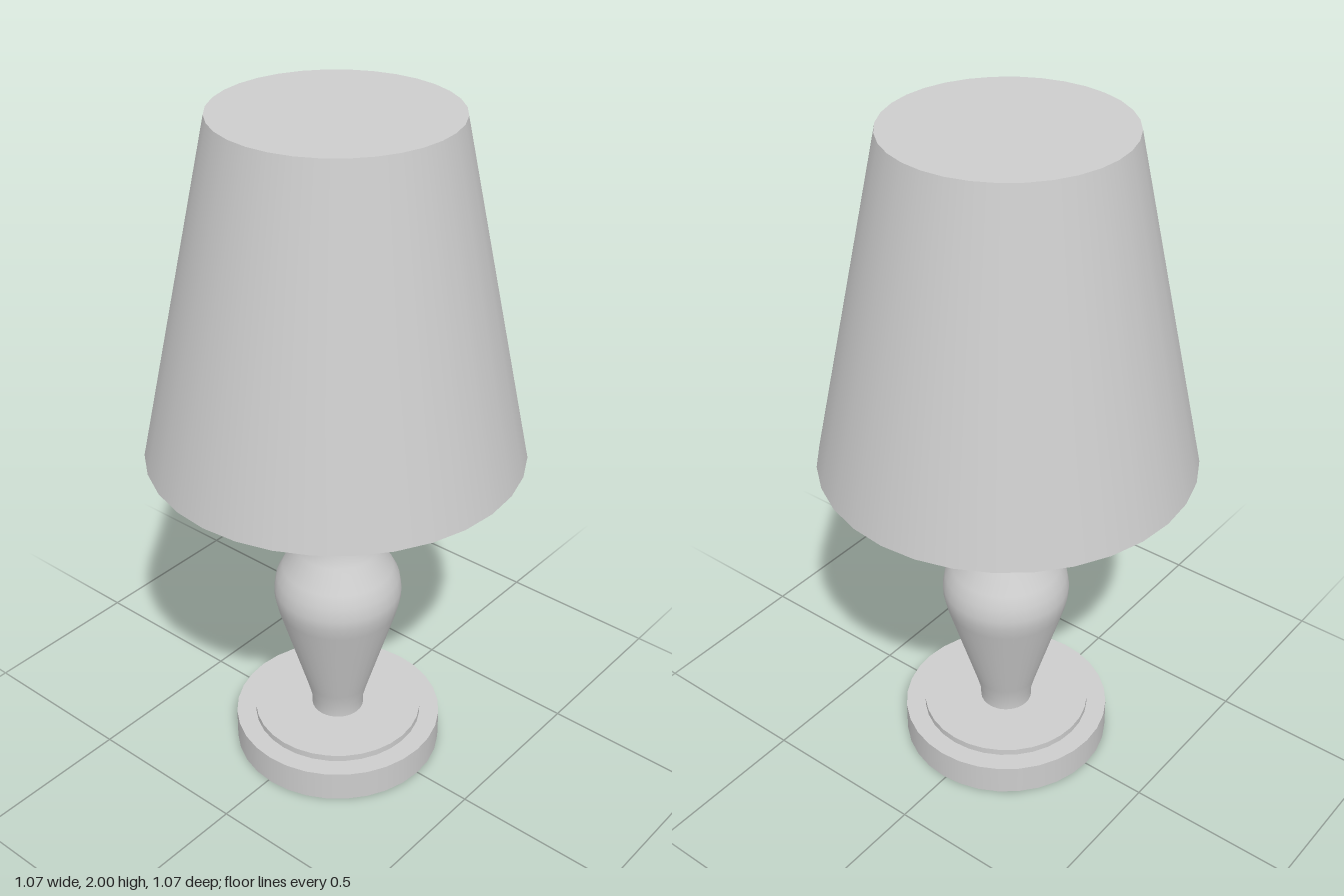
import * as THREE from 'three';

const SEGMENTS = 32;

export function createModel() {
  const lamp = new THREE.Group();
  lamp.name = 'tableLamp';
  const grey = new THREE.MeshStandardMaterial({ color: 0xcccccc });
  grey.name = 'pale grey';

  function add(parent, name, geometry, y = 0) {
    const mesh = new THREE.Mesh(geometry, grey);
    mesh.name = name;
    mesh.position.y = y;
    parent.add(mesh);
    return mesh;
  }

  // Closed round part between two heights
  function round(parent, name, bottomRadius, topRadius, y0, y1) {
    const geometry = new THREE.CylinderGeometry(topRadius, bottomRadius, y1 - y0, SEGMENTS);
    return add(parent, name, geometry, (y0 + y1) / 2);
  }

  // Shade: a closed, tapered drum
  round(lamp, 'shade', 0.533, 0.329, 1.03, 2);

  // Stand, set very slightly off the shade's axis
  const stand = new THREE.Group();
  stand.name = 'stand';
  stand.position.set(-0.003, 0, 0.01);
  lamp.add(stand);
  round(stand, 'base', 0.312, 0.312, 0, 0.095);
  round(stand, 'basePlate', 0.253, 0.253, 0.095, 0.115);
  round(stand, 'collar', 0.138, 0.138, 0.985, 1.03);

  // Turned baluster stem
  const profile = [
    [0.078, 0.115], [0.079, 0.15], [0.092, 0.2], [0.178, 0.49],
    [0.187, 0.53], [0.188, 0.56], [0.181, 0.6], [0.163, 0.635],
    [0.122, 0.7], [0.107, 0.735], [0.105, 0.765], [0.113, 0.8],
    [0.16, 0.945], [0.165, 0.97], [0.165, 0.985],
  ].map(([r, y]) => new THREE.Vector2(r, y));
  add(stand, 'stem', new THREE.LatheGeometry(profile, SEGMENTS));

  // Flat top of the stem, under the collar
  const top = new THREE.CircleGeometry(0.165, SEGMENTS).rotateX(-Math.PI / 2);
  add(stand, 'stemTop', top, 0.985);

  return lamp;
}
